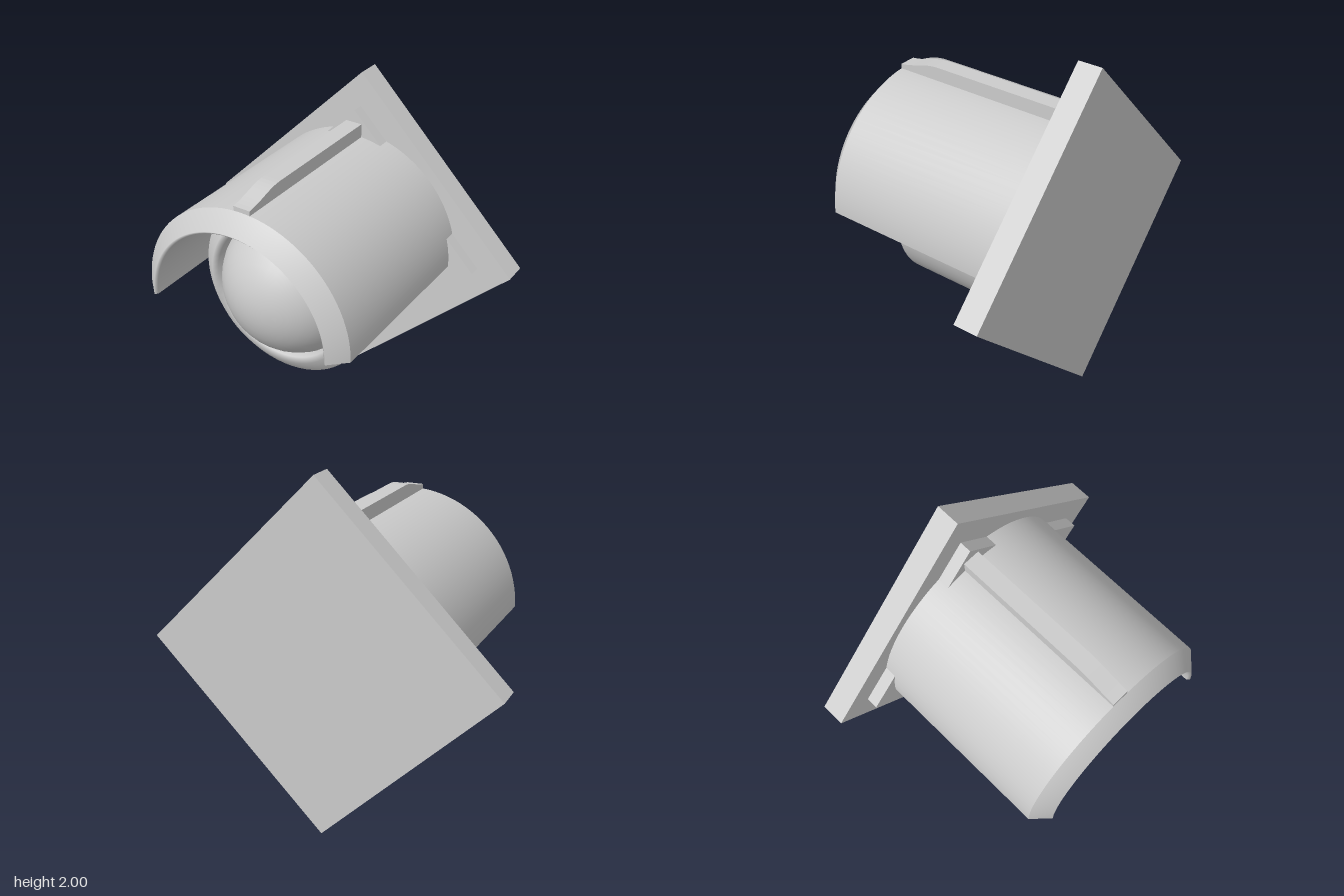
import * as THREE from 'three';

const material = new THREE.MeshStandardMaterial({ color: 0xcccccc });
const AXIS_Y = 1; // height of the lamp axis

function addMesh(parent, name, geometry) {
  const mesh = new THREE.Mesh(geometry, material);
  mesh.name = name;
  parent.add(mesh);
  return mesh;
}

// Revolve [radius, z] points about the z axis
function revolve(points, segments, start = 0, sweep = Math.PI * 2) {
  const profile = points.map(([r, z]) => new THREE.Vector2(r, z));
  return new THREE.LatheGeometry(profile, segments, start, sweep).rotateX(Math.PI / 2);
}

// Square plate standing on one corner
function diamond(halfDiagonal, zBack, zFront) {
  const side = halfDiagonal * Math.SQRT2;
  return new THREE.BoxGeometry(side, side, zFront - zBack)
    .rotateZ(Math.PI / 4)
    .translate(0, AXIS_Y, (zBack + zFront) / 2);
}

export function createModel() {
  const model = new THREE.Group();
  model.name = 'hoodedLamp';

  // Mounting plates
  addMesh(model, 'backPlate', diamond(1, -0.675, -0.535));
  addMesh(model, 'frontPlate', diamond(0.8, -0.535, -0.465));

  // Lamp housing, rounded bezel and domed lens
  const lamp = new THREE.Group();
  lamp.name = 'lamp';
  lamp.position.y = AXIS_Y;
  model.add(lamp);
  addMesh(lamp, 'housing', revolve([[0.525, -0.47], [0.525, 0.24]], 64));
  addMesh(lamp, 'bezel', revolve([[0.525, 0.24], [0.44, 0.31], [0.405, 0.3], [0.4, 0.22]], 64));
  const lens = new THREE.SphereGeometry(0.43, 32, 20).rotateX(Math.PI / 2);
  addMesh(lamp, 'lens', lens).position.z = 0.09;

  // Half-round hood over the lamp
  const hood = new THREE.Group();
  hood.name = 'hood';
  hood.position.y = AXIS_Y;
  model.add(hood);
  const back = -0.535;
  const half = [Math.PI / 2, Math.PI];
  addMesh(hood, 'hoodOuter', revolve([[0.65, back], [0.65, 0.585]], 48, ...half));
  addMesh(hood, 'hoodLip', revolve([[0.65, 0.585], [0.555, 0.675], [0.54, 0.66], [0.54, 0.585]], 48, ...half));
  addMesh(hood, 'hoodInner', revolve([[0.54, 0.585], [0.54, back]], 48, ...half));

  // Flat lower edges of the hood
  const section = [[0.54, back], [0.65, back], [0.65, 0.585], [0.555, 0.675], [0.54, 0.66]];
  for (const [side, name] of [[1, 'leftHoodEdge'], [-1, 'rightHoodEdge']]) {
    const shape = new THREE.Shape(section.map(([r, z]) => new THREE.Vector2(side * r, z)));
    addMesh(hood, name, new THREE.ShapeGeometry(shape).rotateX(Math.PI / 2));
  }

  // Rib along the hood crest, with a curved ramp at the front
  const rib = new THREE.Shape();
  rib.moveTo(-0.5, 1.63);
  rib.lineTo(0.585, 1.63);
  rib.lineTo(0.585, 1.675);
  rib.bezierCurveTo(0.48, 1.685, 0.42, 1.727, 0.32, 1.727);
  rib.lineTo(-0.5, 1.727);
  rib.closePath();
  const ribGeometry = new THREE.ExtrudeGeometry(rib, { depth: 0.1, bevelEnabled: false, curveSegments: 10 })
    .translate(0, 0, -0.05)
    .rotateY(-Math.PI / 2);
  addMesh(model, 'hoodRib', ribGeometry);

  return model;
}
